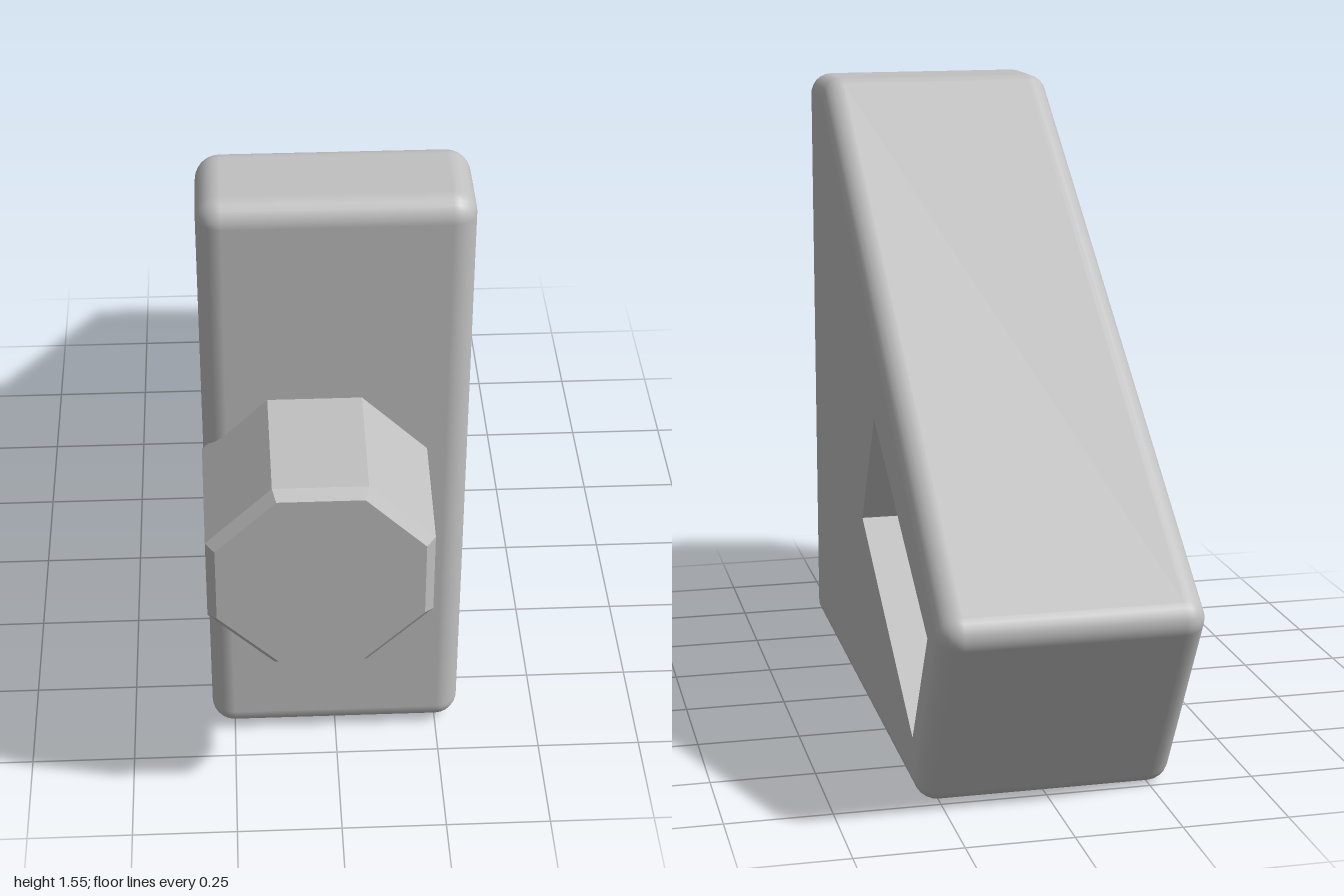
import * as THREE from 'three';

const HALF = 0.305;   // half width of the body
const R = 0.055;      // edge rounding
const DEPTH = 0.405;  // pocket depth

// Side profile, drawn with u = -z and v = y, counter-clockwise
const PROFILE = [[-0.67, 0.015], [0.736, 0], [1.017, 0.49], [-0.445, 1.55], [-0.67, 1.55]]
  .map(([u, v]) => new THREE.Vector2(u, v));

// Tilted rectangle of the pocket in the same plane
const POCKET = { u: 0.476, v: 0.472, length: 0.709, height: 0.341, tilt: -Math.PI / 6 };

// Outward normal of the profile edge starting at corner i
function edgeNormal(i) {
  const n = PROFILE.length;
  const d = PROFILE[(i + 1) % n].clone().sub(PROFILE[(i + n) % n]).normalize();
  return new THREE.Vector2(d.y, -d.x);
}

// Centres of the corner roundings, with the normals on both sides
const corners = PROFILE.map((p, i) => {
  const a = edgeNormal(i - 1), b = edgeNormal(i);
  const centre = p.clone().addScaledVector(a.clone().add(b), -R / (1 + a.dot(b)));
  return { centre, a, b };
});

// Rounded skin swept across the width, with exact smooth normals
function skinGeometry() {
  const STEPS = 6, pos = [], nor = [], idx = [];
  const ringPoints = corners.flatMap(({ centre, a, b }) => {
    const start = a.angle();
    const turn = Math.acos(THREE.MathUtils.clamp(a.dot(b), -1, 1));
    return Array.from({ length: STEPS + 1 }, (_, k) => {
      const t = start + turn * k / STEPS;
      return { centre, nx: Math.cos(t), ny: Math.sin(t) };
    });
  });
  const rings = [];
  for (const side of [-1, 1]) {
    for (let k = 0; k <= STEPS; k++) {
      const t = (Math.PI / 2) * (side < 0 ? k / STEPS - 1 : k / STEPS);
      rings.push({ w: side * (HALF - R) + R * Math.sin(t), c: Math.cos(t), s: Math.sin(t) });
    }
  }
  for (const { w, c, s } of rings) {
    for (const { centre, nx, ny } of ringPoints) {
      pos.push(centre.x + R * c * nx, centre.y + R * c * ny, w);
      nor.push(c * nx, c * ny, s);
    }
  }
  const n = ringPoints.length;
  for (let j = 0; j < rings.length - 1; j++) {
    for (let i = 0; i < n; i++) {
      const a = j * n + i, b = j * n + (i + 1) % n;
      idx.push(a, b, b + n, a, b + n, a + n);
    }
  }
  const g = new THREE.BufferGeometry();
  g.setAttribute('position', new THREE.Float32BufferAttribute(pos, 3));
  g.setAttribute('normal', new THREE.Float32BufferAttribute(nor, 3));
  g.setIndex(idx);
  return g;
}

// Flat side of the body, optionally cut out for the pocket
function sideShape(withHole) {
  const shape = new THREE.Shape(corners.map((c) => c.centre));
  if (withHole) {
    const mid = new THREE.Vector2(POCKET.u, POCKET.v);
    const rect = [[-1, -1], [-1, 1], [1, 1], [1, -1]].map(([a, b]) =>
      new THREE.Vector2(POCKET.u + a * POCKET.length / 2, POCKET.v + b * POCKET.height / 2)
        .rotateAround(mid, POCKET.tilt));
    shape.holes.push(new THREE.Path(rect));
  }
  return new THREE.ShapeGeometry(shape);
}

// Open box turned inside out: four walls and a floor
function pocketGeometry() {
  const g = new THREE.BoxGeometry(POCKET.length, POCKET.height, DEPTH);
  const idx = Array.from(g.index.array);
  idx.splice(24, 6); // open side
  g.setIndex(idx.reverse());
  g.clearGroups();
  const normals = g.attributes.normal.array;
  for (let i = 0; i < normals.length; i++) normals[i] *= -1;
  g.rotateZ(POCKET.tilt);
  g.translate(POCKET.u, POCKET.v, HALF - DEPTH / 2);
  return g;
}

// Slightly tapered eight-sided knob with a chamfered end
function knobGeometry() {
  const k = 1 / Math.cos(Math.PI / 8);
  const profile = [[0.2575, 0.65], [0.252, 0.978], [0.2315, 1], [0, 1]]
    .map(([r, y]) => new THREE.Vector2(r * k, y));
  const g = new THREE.LatheGeometry(profile, 8, Math.PI / 8).toNonIndexed();
  g.computeVertexNormals();
  return g.rotateX(Math.PI / 2);
}

export function createModel() {
  const grey = new THREE.MeshStandardMaterial({ color: 0xc0c0c0 });
  grey.name = 'light grey';

  const model = new THREE.Group();
  model.name = 'wedgeWithKnob';

  const add = (parent, name, geometry) => {
    const mesh = new THREE.Mesh(geometry, grey);
    mesh.name = name;
    parent.add(mesh);
    return mesh;
  };

  // Body, built in the profile plane and turned to face the front
  const body = new THREE.Group();
  body.name = 'body';
  body.rotation.y = Math.PI / 2;
  add(body, 'roundedSkin', skinGeometry());
  add(body, 'leftSide', sideShape(true).translate(0, 0, HALF));
  add(body, 'rightSide', sideShape(false).rotateY(Math.PI).scale(1, 1, 1)).geometry.dispose();
  body.children.pop();
  const plain = sideShape(false);
  plain.setIndex(Array.from(plain.index.array).reverse());
  plain.computeVertexNormals();
  add(body, 'rightSide', plain.translate(0, 0, -HALF));
  add(body, 'pocket', pocketGeometry());
  model.add(body);

  // Knob on the front, set off to one side
  add(model, 'knob', knobGeometry()).position.set(-0.05, 0.782, 0);

  return model;
}
